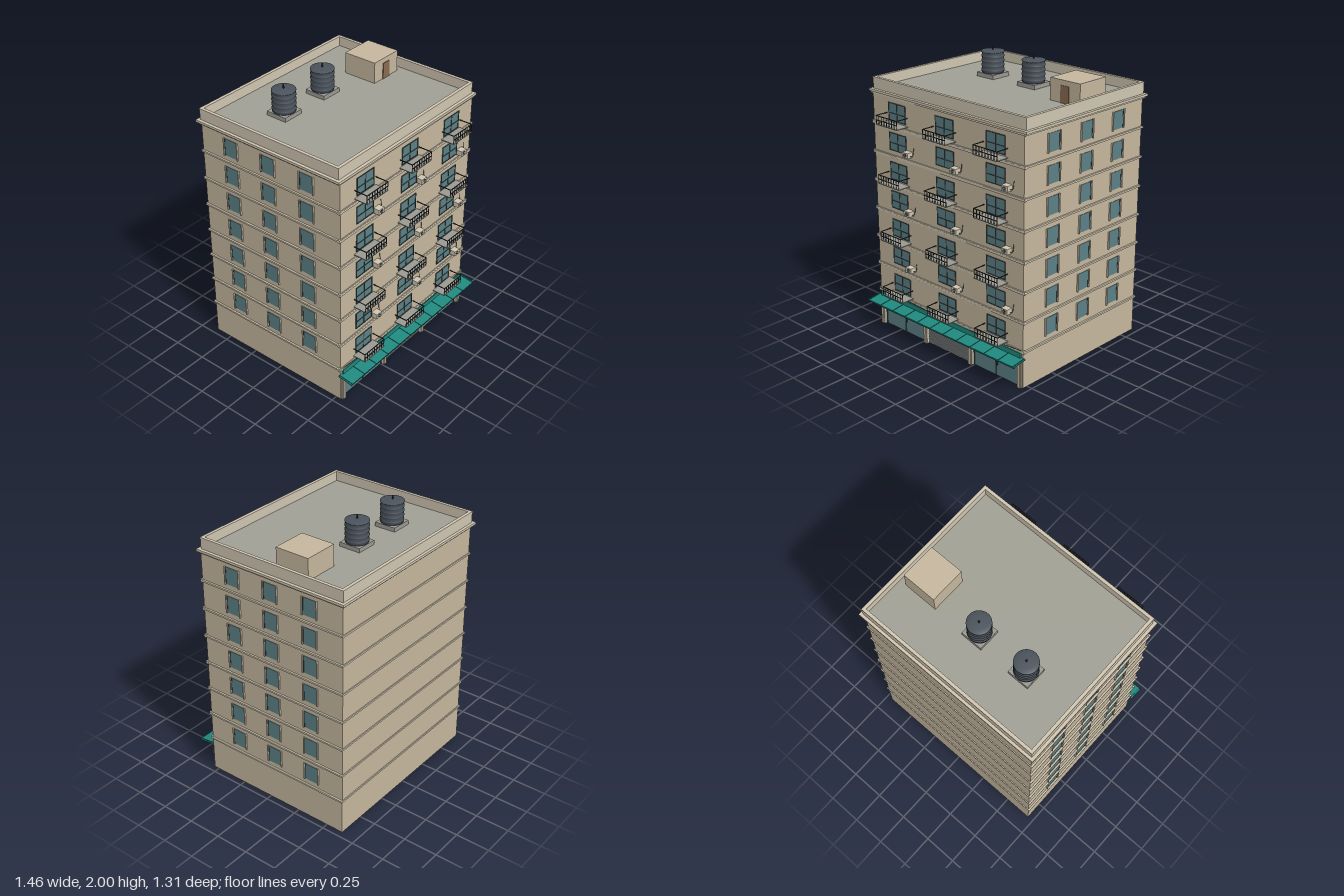
import * as THREE from 'three';

const mat = (color, side = THREE.FrontSide) => new THREE.MeshStandardMaterial({ color, side });
const M = {
  wall: mat(0xc6b79e), trim: mat(0xd0c6b1), roof: mat(0xa0a095), glass: mat(0x5c8186),
  dark: mat(0x3b4547), iron: mat(0x2f3335), teal: mat(0x20897f, THREE.DoubleSide), tealDark: mat(0x17625c),
  shutter: mat(0x969b9c), soffit: mat(0x4a4a43), tank: mat(0x4b535c), door: mat(0x8a6b50), slab: mat(0x9c9b92),
};
const FLOOR = 0.212, BASE = 0.265, FRONT = 0.54, BACK = -0.63, CZ = (FRONT + BACK) / 2, HALF = 0.705;

// Box given by its min and max corners
function box(parent, name, m, x0, x1, y0, y1, z0, z1) {
  const mesh = new THREE.Mesh(new THREE.BoxGeometry(x1 - x0, y1 - y0, z1 - z0), m);
  mesh.position.set((x0 + x1) / 2, (y0 + y1) / 2, (z0 + z1) / 2);
  mesh.name = name;
  parent.add(mesh);
  return mesh;
}

function group(parent, name, x = 0, y = 0, z = 0) {
  const g = new THREE.Group();
  g.name = name;
  g.position.set(x, y, z);
  parent.add(g);
  return g;
}

function cylinder(parent, name, m, r, h, x, y, z, n = 16) {
  const mesh = new THREE.Mesh(new THREE.CylinderGeometry(r, r, h, n), m);
  mesh.position.set(x, y, z);
  mesh.name = name;
  parent.add(mesh);
  return mesh;
}

// Rectangular ring around the building, extruded upwards
function ring(parent, name, m, x, z0, z1, t, y, h) {
  const rect = (P, a, b, c) => new P().moveTo(-a, b).lineTo(a, b).lineTo(a, c).lineTo(-a, c).closePath();
  const shape = rect(THREE.Shape, x, -z1, -z0);
  shape.holes.push(rect(THREE.Path, x - t, -z1 + t, -z0 - t));
  const mesh = new THREE.Mesh(new THREE.ExtrudeGeometry(shape, { depth: h, bevelEnabled: false }), m);
  mesh.rotation.x = -Math.PI / 2;
  mesh.position.y = y;
  mesh.name = name;
  parent.add(mesh);
}

// Window facing +z, sill centre at the origin, four panes
function frontWindow(parent, x, y) {
  const g = group(parent, 'frontWindow', x, y, FRONT);
  box(g, 'glass', M.glass, -0.085, 0.085, 0, 0.129, -0.01, 0.002);
  for (const s of [-0.082, 0, 0.082]) box(g, 'upright', M.dark, s - 0.003, s + 0.003, 0, 0.129, 0, 0.005);
  for (const h of [0.003, 0.056, 0.126]) box(g, 'crossbar', M.dark, -0.085, 0.085, h - 0.003, h + 0.003, 0, 0.005);
}

// Side window facing +z before it is turned outwards
function sideWindow(parent, side, z, y) {
  const g = group(parent, 'sideWindow', side * HALF, y, z);
  g.rotation.y = side * Math.PI / 2;
  box(g, 'glass', M.glass, -0.055, 0.055, 0.002, 0.127, -0.01, 0.003);
  for (const s of [-1, 1]) {
    box(g, 'jamb', M.trim, s * 0.058 - 0.004, s * 0.058 + 0.004, 0, 0.13, 0, 0.011);
    box(g, 'casement', M.dark, s * 0.052 - 0.002, s * 0.052 + 0.002, 0.002, 0.127, 0, 0.005);
  }
}

function balcony(parent, x, y) {
  const g = group(parent, 'balcony', x, y, FRONT);
  const w = 0.106, d = 0.1, h = 0.067, r = 0.0025;
  box(g, 'slab', M.slab, -w, w, 0, 0.006, 0, d);
  for (const ry of [0.036, h]) box(g, 'frontRail', M.iron, -w, w, ry - 2 * r, ry, d - 2 * r, d);
  for (let i = 0; i <= 8; i++) {
    const bx = -w + r + i * (w - r) / 4;
    box(g, 'baluster', M.iron, bx - r * 0.7, bx + r * 0.7, 0, h, d - 2 * r, d - r * 0.5);
  }
  for (const s of [-1, 1]) box(g, 'sideRail', M.iron, s * (w - r) - r, s * (w - r) + r, h - 2 * r, h, 0, d);
}

function airConditioner(parent, x, y) {
  const g = group(parent, 'airConditioner', x, y, FRONT);
  box(g, 'case', M.trim, -0.028, 0.028, 0, 0.038, 0, 0.046);
  const fan = cylinder(g, 'fan', M.dark, 0.014, 0.004, 0, 0.019, 0.046);
  fan.rotation.x = Math.PI / 2;
  const hub = cylinder(g, 'fanHub', M.shutter, 0.005, 0.006, 0, 0.019, 0.046, 10);
  hub.rotation.x = Math.PI / 2;
  const path = new THREE.CatmullRomCurve3([[0.026, 0.012, 0.02], [0.042, 0.016, 0.012], [0.045, 0.04, 0.006], [0.045, 0.07, 0.003]]
    .map(p => new THREE.Vector3(...p)));
  const pipe = new THREE.Mesh(new THREE.TubeGeometry(path, 12, 0.0017, 5), M.iron);
  pipe.name = 'pipe';
  g.add(pipe);
}

function waterTank(parent, x, z) {
  const g = group(parent, 'waterTank', x, 1.78, z);
  box(g, 'plinth', M.slab, -0.08, 0.08, 0, 0.032, -0.08, 0.08);
  // Ribbed wall below a low domed top
  const pts = [[0, 0.032], [0.079, 0.032]];
  for (let i = 0; i < 4; i++) {
    const y = 0.045 + i * 0.033;
    pts.push([0.078, y], [0.082, y + 0.004], [0.082, y + 0.011], [0.078, y + 0.015]);
  }
  pts.push([0.078, 0.175], [0.082, 0.178], [0.082, 0.186], [0.05, 0.191], [0, 0.193]);
  const body = new THREE.Mesh(new THREE.LatheGeometry(pts.map(p => new THREE.Vector2(...p)), 32), M.tank);
  body.name = 'tankBody';
  g.add(body);
  cylinder(g, 'tankStem', M.iron, 0.005, 0.03, 0, 0.205, 0, 10);
}

export function createModel() {
  const root = new THREE.Group();
  root.name = 'apartmentBlock';

  // Upper storeys over a hollow ground floor
  box(root, 'upperStoreys', M.wall, -HALF, HALF, 0.26, 1.76, BACK, FRONT);
  box(root, 'groundCeiling', M.soffit, -HALF + 0.01, HALF - 0.01, 0.252, 0.26, BACK + 0.01, FRONT - 0.01);
  box(root, 'groundBackWall', M.wall, -HALF, HALF, 0, 0.26, BACK, BACK + 0.01);
  for (const s of [-1, 1]) {
    box(root, 'groundSideWall', M.wall, s * 0.7 - 0.005, s * 0.7 + 0.005, 0, 0.26, BACK + 0.01, FRONT);
  }
  box(root, 'shopHeader', M.wall, -HALF + 0.01, HALF - 0.01, 0.2, 0.26, FRONT - 0.015, FRONT);

  // Floor bands
  for (let i = 0; i < 7; i++) {
    const y = BASE + i * FLOOR;
    ring(root, 'floorBand', M.trim, 0.718, BACK - 0.007, FRONT + 0.007, 0.02, y - 0.006, 0.013);
    box(root, 'frontBand', M.trim, -0.718, 0.718, y - 0.01, y + 0.013, FRONT - 0.01, FRONT + 0.006);
  }

  // Cornice, roof and parapet
  box(root, 'corniceStep', M.trim, -0.72, 0.72, 1.742, 1.756, BACK - 0.012, FRONT + 0.006);
  box(root, 'cornice', M.trim, -0.732, 0.732, 1.755, 1.772, -0.654, 0.553);
  box(root, 'roofDeck', M.roof, -0.7, 0.7, 1.77, 1.782, BACK + 0.01, 0.525);
  ring(root, 'parapet', M.trim, 0.71, -0.634, 0.531, 0.018, 1.77, 0.078);
  ring(root, 'parapetCap', M.trim, 0.712, -0.636, 0.533, 0.023, 1.846, 0.008);

  // Windows, balconies and cooling units
  for (let f = 0; f < 7; f++) {
    const y = BASE + f * FLOOR;
    for (const x of [-0.462, 0, 0.462]) {
      frontWindow(root, x, y + 0.043);
      if (f % 2 === 0) balcony(root, x, y + 0.028);
      else airConditioner(root, x + 0.115, y + 0.038);
    }
    for (const s of [-1, 1]) for (const z of [0.27, -0.05, -0.37]) sideWindow(root, s, z, y + 0.042);
  }

  // Shop fronts
  for (const s of [-1, 1]) {
    for (const [x, w] of [[0.224, 0.018], [0.68, 0.018]]) {
      box(root, 'pilaster', M.trim, s * x - w, s * x + w, 0, 0.2, FRONT - 0.02, FRONT + 0.012);
      box(root, 'pilasterFace', M.wall, s * x - w / 2, s * x + w / 2, 0, 0.2, FRONT, FRONT + 0.017);
    }
    box(root, 'shopGlass', M.glass, s * 0.452 - 0.21, s * 0.452 + 0.21, 0, 0.2, FRONT - 0.016, FRONT - 0.01);
    for (const x of [0.248, 0.452, 0.656]) {
      box(root, 'shopMullion', M.dark, s * x - 0.003, s * x + 0.003, 0, 0.2, FRONT - 0.014, FRONT - 0.004);
    }
    box(root, 'doorHandle', M.iron, s * 0.452 + 0.012, s * 0.452 + 0.016, 0.08, 0.12, FRONT - 0.01, FRONT);
  }
  box(root, 'shutter', M.shutter, -0.207, 0.207, 0, 0.2, FRONT - 0.016, FRONT - 0.01);
  for (let i = 0; i < 15; i++) {
    const y = 0.006 + i * 0.013;
    box(root, 'shutterSlat', M.shutter, -0.205, 0.205, y, y + 0.008, FRONT - 0.011, FRONT - 0.006);
  }

  // Blank fascia and sloping awning with seams
  box(root, 'fascia', M.teal, -0.69, 0.69, 0.213, 0.258, FRONT, FRONT + 0.012);
  const awning = group(root, 'awning', 0, 0.221, FRONT);
  awning.rotation.x = 0.13;
  box(awning, 'awningSheet', M.teal, -0.727, 0.727, -0.003, 0.003, 0, 0.112);
  box(awning, 'awningLip', M.tealDark, -0.727, 0.727, -0.009, 0.003, 0.108, 0.112);
  for (let i = 0; i <= 11; i++) {
    const x = -0.715 + i * 0.13;
    box(awning, 'awningSeam', M.tealDark, x - 0.002, x + 0.002, 0, 0.006, 0, 0.112);
  }

  // Sagging cables above the fascia
  for (const s of [-1, 1]) {
    const curve = new THREE.CatmullRomCurve3([[0.7, 0.283], [0.55, 0.272], [0.4, 0.268], [0.22, 0.262]]
      .map(([x, y]) => new THREE.Vector3(s * x, y, FRONT + 0.014)));
    const cable = new THREE.Mesh(new THREE.TubeGeometry(curve, 20, 0.0018, 5), M.iron);
    cable.name = 'cable';
    root.add(cable);
  }

  // Rooftop
  for (const x of [-0.324, 0.063]) waterTank(root, x, -0.245);
  box(root, 'stairHouse', M.wall, 0.385, 0.64, 1.78, 1.936, -0.31, -0.052);
  box(root, 'stairDoor', M.door, 0.476, 0.546, 1.782, 1.9, -0.055, -0.047);
  return root;
}
